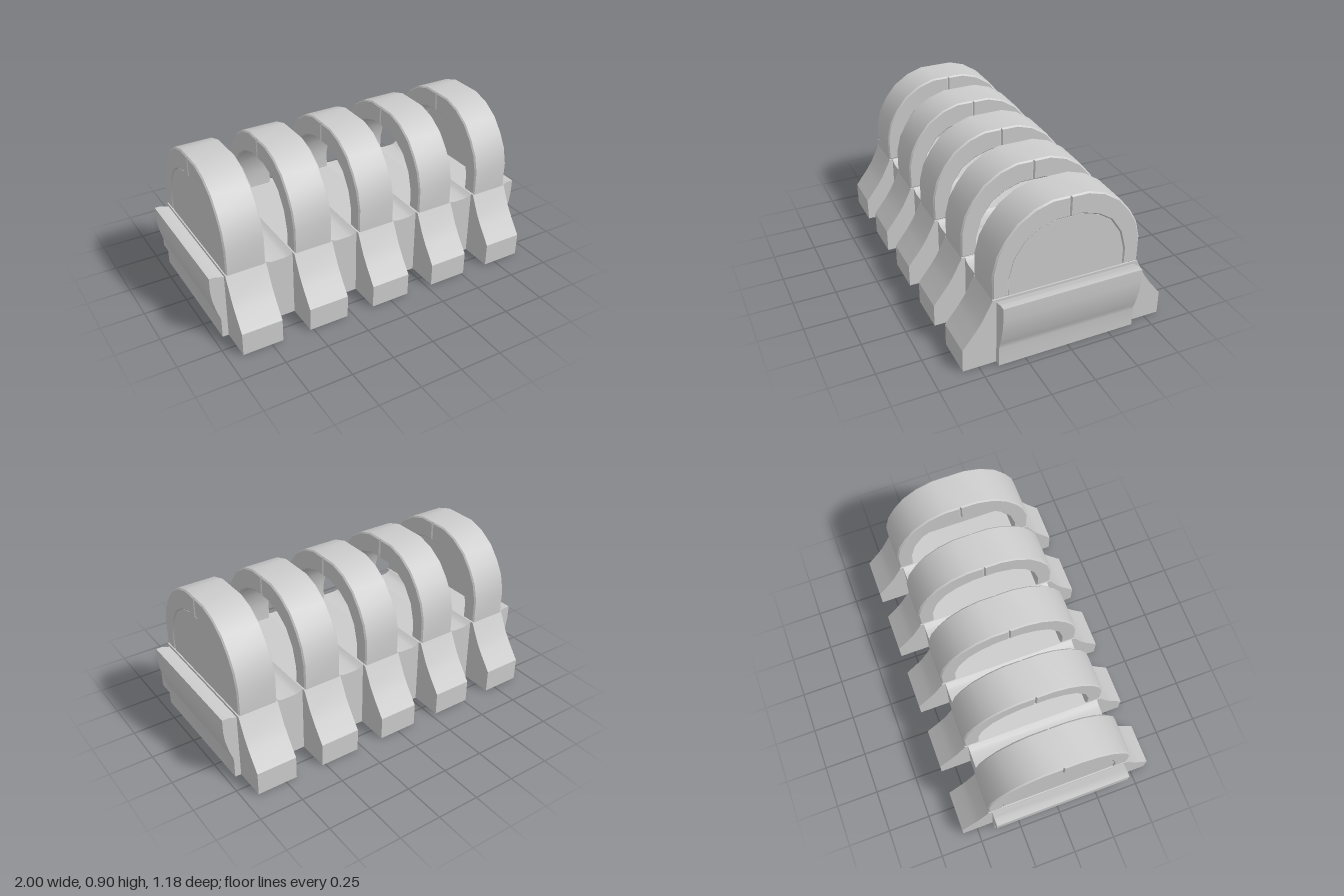
import * as THREE from 'three';
import { toCreasedNormals } from 'three/addons/utils/BufferGeometryUtils.js';

const mat = new THREE.MeshStandardMaterial({ color: 0xcccccc, side: THREE.DoubleSide });
const CENTRES = [-0.8, -0.4, 0, 0.4, 0.8];
const FOOT = 0.117; // half width of a buttress
const BEVEL = 0.008;

const shapeOf = (pts) => new THREE.Shape(pts.map(([a, b]) => new THREE.Vector2(a, b)));

// Thin sheet: a 2D profile swept between two depths along z
function sheet(pts, d0, d1) {
  const pos = [];
  for (let i = 0; i < pts.length - 1; i++) {
    const [a, b] = pts[i], [c, d] = pts[i + 1];
    pos.push(a, b, d0, a, b, d1, c, d, d1, a, b, d0, c, d, d1, c, d, d0);
  }
  const g = new THREE.BufferGeometry();
  g.setAttribute('position', new THREE.Float32BufferAttribute(pos, 3));
  return toCreasedNormals(g, 0.5);
}

function add(parent, name, geometry) {
  const m = new THREE.Mesh(geometry, mat);
  m.name = name;
  parent.add(m);
  return m;
}

// Solid slab from a (z, y) outline, centred on x = 0
function slab(pts, width, bevel) {
  const g = new THREE.ExtrudeGeometry(shapeOf(pts), {
    depth: width - 2 * bevel, bevelEnabled: bevel > 0, bevelSize: bevel,
    bevelThickness: bevel, bevelOffset: -bevel, bevelSegments: 1,
  });
  g.translate(0, 0, bevel - width / 2).rotateY(-Math.PI / 2);
  return toCreasedNormals(g, 0.5);
}

const outer = [[0.42, 0.4], [0.42, 0.55], [0.395, 0.65], [0.35, 0.73], [0.285, 0.81], [0.195, 0.87], [0.1, 0.9], [0, 0.9]];
const inner = [[0.33, 0.4], [0.33, 0.5], [0.3, 0.61], [0.24, 0.7], [0.165, 0.75], [0.07, 0.78], [0, 0.78]];
const slope = [[0.42, 0.4], [0.475, 0.29], [0.515, 0.23], [0.588, 0.135], [0.588, 0]];
const endCurve = [[1, 0.4], [1, 0.32], [0.993, 0.26], [0.976, 0.19], [0.963, 0.15], [0.955, 0.13], [0.952, 0.11], [0.952, 0]];

// Two half rings that meet in a small groove at the crown
function makeArch() {
  const arch = new THREE.Group();
  arch.name = 'arch';
  const g = slab([...outer, ...[...inner].reverse()], 0.228, BEVEL);
  add(arch, 'archHalfFront', g);
  add(arch, 'archHalfBack', g).rotation.y = Math.PI;
  return arch;
}

// Hollow buttress, open below and towards the inside
function makeButtress() {
  const b = new THREE.Group();
  b.name = 'buttress';
  const face = sheet([[0.4, 0.4], ...slope], -FOOT, FOOT).rotateY(-Math.PI / 2);
  add(b, 'buttressFace', face);
  const cheek = new THREE.ShapeGeometry(shapeOf([[0.4, 0], [0.4, 0.4], ...slope])).rotateY(-Math.PI / 2);
  for (const s of [-1, 1]) add(b, 'buttressSide', cheek).position.x = s * FOOT;
  return b;
}

export function createModel() {
  const model = new THREE.Group();
  model.name = 'archedShelter';

  for (const x of CENTRES) {
    const arch = makeArch();
    arch.position.x = x;
    model.add(arch);
    for (const turn of [0, Math.PI]) {
      const b = makeButtress();
      b.position.x = x;
      b.rotation.y = turn;
      model.add(b);
    }
  }

  // Deck with shallow hollows between the arches, running into the flared end walls
  const dips = [];
  for (let i = 0; i < 4; i++) {
    const c = CENTRES[i] + 0.2, e = 0.2 - FOOT;
    dips.push([[c - e, 0.4], [c - 0.06, 0.385], [c - 0.035, 0.38], [c + 0.035, 0.38], [c + 0.06, 0.385], [c + e, 0.4]]);
  }
  const endTop = [[0.8 + FOOT, 0.385], [0.945, 0.393], [0.965, 0.4]];
  const rightEnd = [[0.8 + FOOT, 0.4], ...endTop, ...endCurve];
  const leftEnd = rightEnd.map(([x, y]) => [-x, y]).reverse();
  add(model, 'deckAndEndWalls', sheet([...leftEnd, ...dips.flat(), ...rightEnd], 0.4, -0.4));

  // Side walls between and beyond the buttresses
  const panels = dips.map((d) => [...d, [d[5][0], 0], [d[0][0], 0]]);
  const endPanel = [...endTop, ...endCurve, [0.8 + FOOT, 0]];
  panels.push(endPanel, endPanel.map(([x, y]) => [-x, y]));
  for (const p of panels) {
    const g = new THREE.ShapeGeometry(shapeOf(p));
    add(model, 'sideWall', g).position.z = 0.4;
    const back = add(model, 'sideWall', g);
    back.rotation.y = Math.PI;
    back.position.z = -0.4;
  }

  // Plates closing the two outermost arches
  const plateOutline = [...inner, ...inner.slice(0, -1).reverse().map(([z, y]) => [-z, y])];
  for (const s of [-1, 1]) add(model, 'endPlate', slab(plateOutline, 0.05, 0)).position.x = s * 0.884;

  return model;
}
